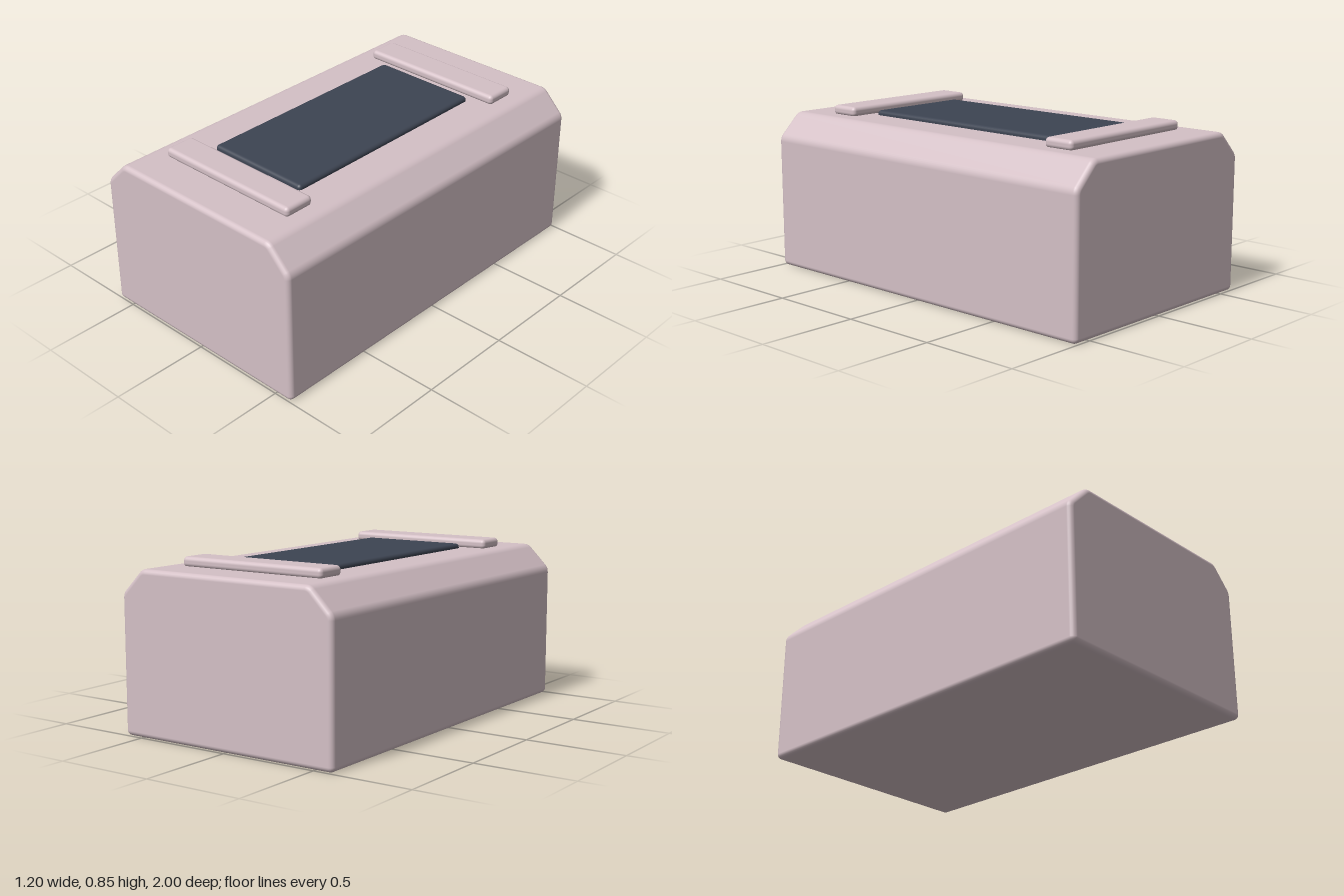
import * as THREE from 'three';
import { RoundedBoxGeometry } from 'three/addons/geometries/RoundedBoxGeometry.js';

// Convex profile (counter-clockwise [x, y, cornerRadius]) extruded along z, with rounded end edges
function roundedPrism(profile, halfLength, bevel, steps = 5) {
  const count = profile.length;
  const normals = profile.map(([x, y], i) => {
    const [nx, ny] = profile[(i + 1) % count];
    return new THREE.Vector2(ny - y, x - nx).normalize();
  });
  // Centre, radius and outward direction for every point round the profile
  const outline = [];
  profile.forEach(([x, y, radius], i) => {
    const a = normals[(i + count - 1) % count], b = normals[i];
    const centre = new THREE.Vector2(x, y).addScaledVector(a.clone().add(b), -radius / (1 + a.dot(b)));
    const start = a.angle(), turn = Math.atan2(a.cross(b), a.dot(b));
    for (let k = 0; k <= steps; k++) {
      const t = start + turn * k / steps;
      outline.push({ centre, radius, nx: Math.cos(t), ny: Math.sin(t) });
    }
  });
  // Rings from the back end to the front end
  const rings = [];
  for (const side of [-1, 1]) {
    for (let k = 0; k <= steps; k++) {
      const t = Math.PI / 2 * (side < 0 ? 1 - k / steps : k / steps);
      rings.push({ side, c: Math.cos(t), s: Math.sin(t) });
    }
  }
  const position = [], normal = [], index = [], n = outline.length;
  for (const { side, c, s } of rings) {
    for (const { centre, radius, nx, ny } of outline) {
      const r = radius - bevel + bevel * c;
      position.push(centre.x + nx * r, centre.y + ny * r, side * (halfLength - bevel + bevel * s));
      normal.push(nx * c, ny * c, side * s);
    }
  }
  for (let j = 0; j < rings.length - 1; j++) {
    for (let i = 0; i < n; i++) {
      const a = j * n + i, b = j * n + (i + 1) % n;
      index.push(a, b, b + n, a, b + n, a + n);
    }
  }
  // Flat end caps
  const last = (rings.length - 1) * n;
  for (let i = 1; i < n - 1; i++) {
    index.push(0, i + 1, i, last, last + i, last + i + 1);
  }
  const geometry = new THREE.BufferGeometry();
  geometry.setAttribute('position', new THREE.Float32BufferAttribute(position, 3));
  geometry.setAttribute('normal', new THREE.Float32BufferAttribute(normal, 3));
  geometry.setIndex(index);
  return geometry;
}

export function createModel() {
  const model = new THREE.Group();
  const shell = new THREE.MeshStandardMaterial({ color: 0xd4c0c6 });
  shell.name = 'dusty pink';
  const dark = new THREE.MeshStandardMaterial({ color: 0x3d4452 });
  dark.name = 'dark slate';

  const add = (name, geometry, material, y = 0, z = 0) => {
    const mesh = new THREE.Mesh(geometry, material);
    mesh.name = name;
    mesh.position.set(0, y, z);
    model.add(mesh);
  };

  // Long box with chamfered top edges
  const profile = [
    [-0.6, 0, 0.025], [0.6, 0, 0.025], [0.6, 0.68, 0.055],
    [0.48, 0.8, 0.055], [-0.48, 0.8, 0.055], [-0.6, 0.68, 0.055],
  ];
  add('body', roundedPrism(profile, 1, 0.025), shell);

  // Inset panel on the top
  add('topPanel', new RoundedBoxGeometry(0.56, 0.05, 1.2, 4, 0.018), dark, 0.799);

  // Raised bars at both ends of the panel
  add('frontBar', new RoundedBoxGeometry(0.8, 0.05, 0.16, 4, 0.02), shell, 0.82, 0.72);
  add('backBar', new RoundedBoxGeometry(0.8, 0.05, 0.16, 4, 0.02), shell, 0.82, -0.72);

  return model;
}
